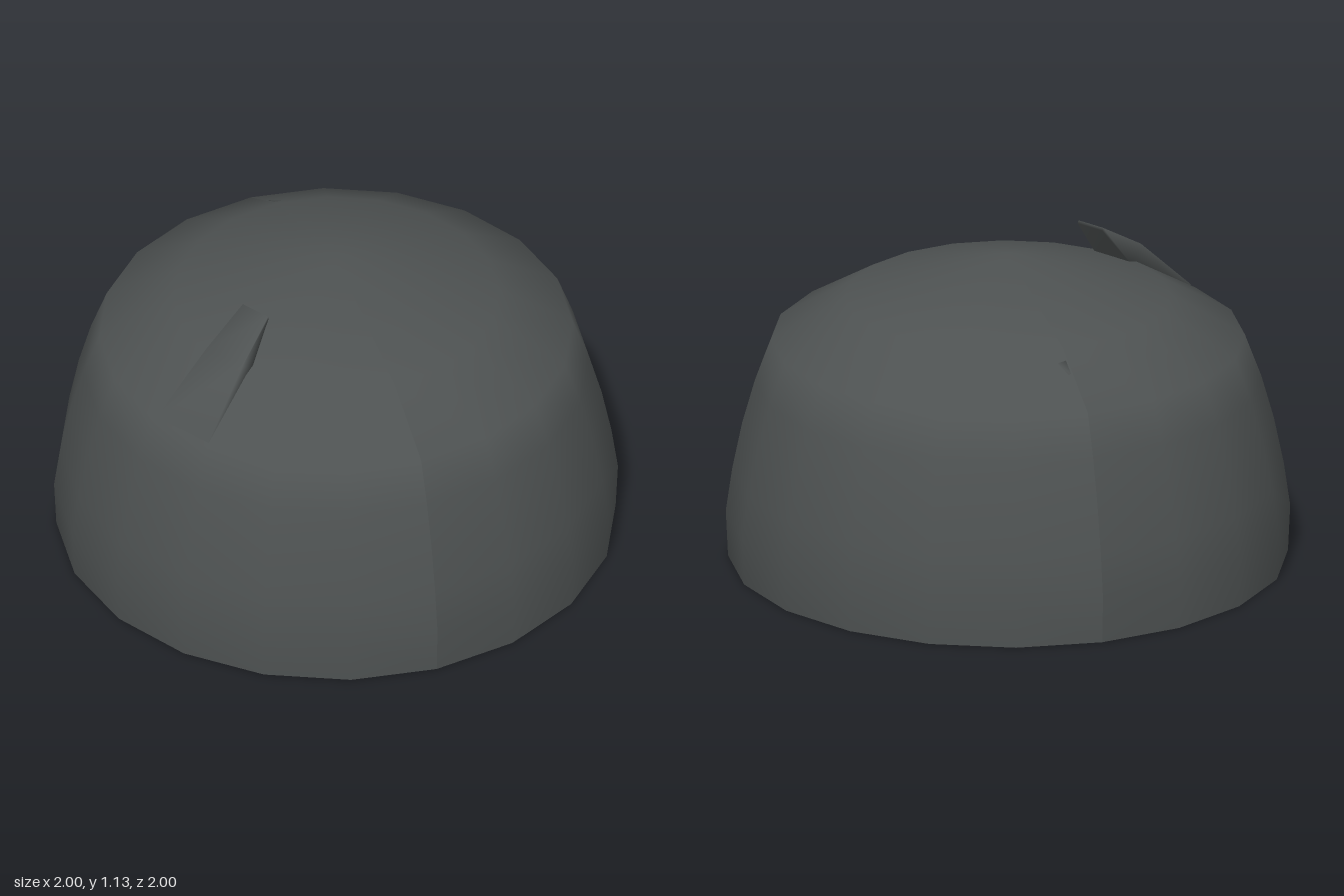
import * as THREE from 'three';
import { mergeVertices } from 'three/addons/utils/BufferGeometryUtils.js';

const SEGMENTS = 20;
const SEAM = -0.08 + 3 * Math.PI / 10; // the shell is two halves meeting here

// Welds shared corners and shades the surface smoothly
function smooth(geometry) {
  geometry.deleteAttribute('uv');
  geometry.deleteAttribute('normal');
  const welded = mergeVertices(geometry, 1e-4);
  welded.computeVertexNormals();
  return welded;
}

// Joins four-cornered sections into a closed, smooth solid
function loft(sections) {
  const positions = [];
  const quad = (a, b, c, d) => positions.push(...a, ...b, ...c, ...a, ...c, ...d);
  for (let i = 0; i < sections.length - 1; i++) {
    const s = sections[i], t = sections[i + 1];
    for (let k = 0; k < 4; k++) {
      const n = (k + 1) % 4;
      quad(s[k], s[n], t[n], t[k]);
    }
  }
  quad(...sections[0].slice().reverse());
  quad(...sections[sections.length - 1]);
  const geometry = new THREE.BufferGeometry();
  geometry.setAttribute('position', new THREE.Float32BufferAttribute(positions, 3));
  return smooth(geometry);
}

export function createModel() {
  const group = new THREE.Group();
  group.name = 'cap';
  const material = new THREE.MeshStandardMaterial({ color: 0x4e5252 });

  const add = (name, geometry) => {
    const mesh = new THREE.Mesh(geometry, material);
    mesh.name = name;
    group.add(mesh);
  };
  const lathe = (profile, segments, start, sweep) => smooth(new THREE.LatheGeometry(
    profile.map(([r, y]) => new THREE.Vector2(r, y)), segments, start, sweep));

  // Outer shell in two halves, from the hem up to the crown point
  const outer = [[0.995, 0], [1.003, 0.17], [0.98, 0.33], [0.945, 0.5],
    [0.9, 0.66], [0.842, 0.815], [0.58, 0.97], [0, 1.13]];
  ['leftShell', 'rightShell'].forEach((name, i) => {
    const half = lathe(outer, SEGMENTS / 2, SEAM + i * Math.PI, Math.PI);
    const { position, normal } = half.attributes;
    // The crown point is shared by both halves, so it faces straight up
    for (let v = 0; v < position.count; v++) {
      if (position.getY(v) > 1.12) normal.setXYZ(v, 0, 1, 0);
    }
    add(name, half);
  });

  // Shallow cavity facing downwards, running into the flat hem
  const cavity = [[0, 0.62], [0.4, 0.55], [0.65, 0.42], [0.82, 0.23], [0.915, 0], [0.995, 0]];
  add('cavityAndHem', lathe(cavity, SEGMENTS, SEAM, Math.PI * 2));

  // Front tab: a bent, tapering strip lifting off the crown.
  // Each section is [outer left, outer right, under right, under left].
  add('frontTab', loft([
    [[-0.305, 0.825, 0.775], [-0.07, 0.825, 0.825], [-0.07, 0.8, 0.79], [-0.305, 0.8, 0.74]],
    [[-0.215, 1.025, 0.575], [-0.05, 1.03, 0.605], [-0.05, 0.97, 0.54], [-0.215, 0.965, 0.51]],
    [[-0.16, 1.13, 0.4], [-0.045, 1.13, 0.425], [-0.045, 1.12, 0.42], [-0.16, 1.12, 0.395]],
  ]));

  // Small tuck just breaking the surface at the back right
  add('backTuck', loft([
    [[-0.5, 0.85, -0.46], [-0.44, 0.9, -0.4], [-0.4, 0.9, -0.43], [-0.46, 0.83, -0.5]],
    [[-0.515, 0.91, -0.45], [-0.44, 0.965, -0.385], [-0.385, 0.965, -0.43], [-0.47, 0.87, -0.53]],
  ]));
  return group;
}
